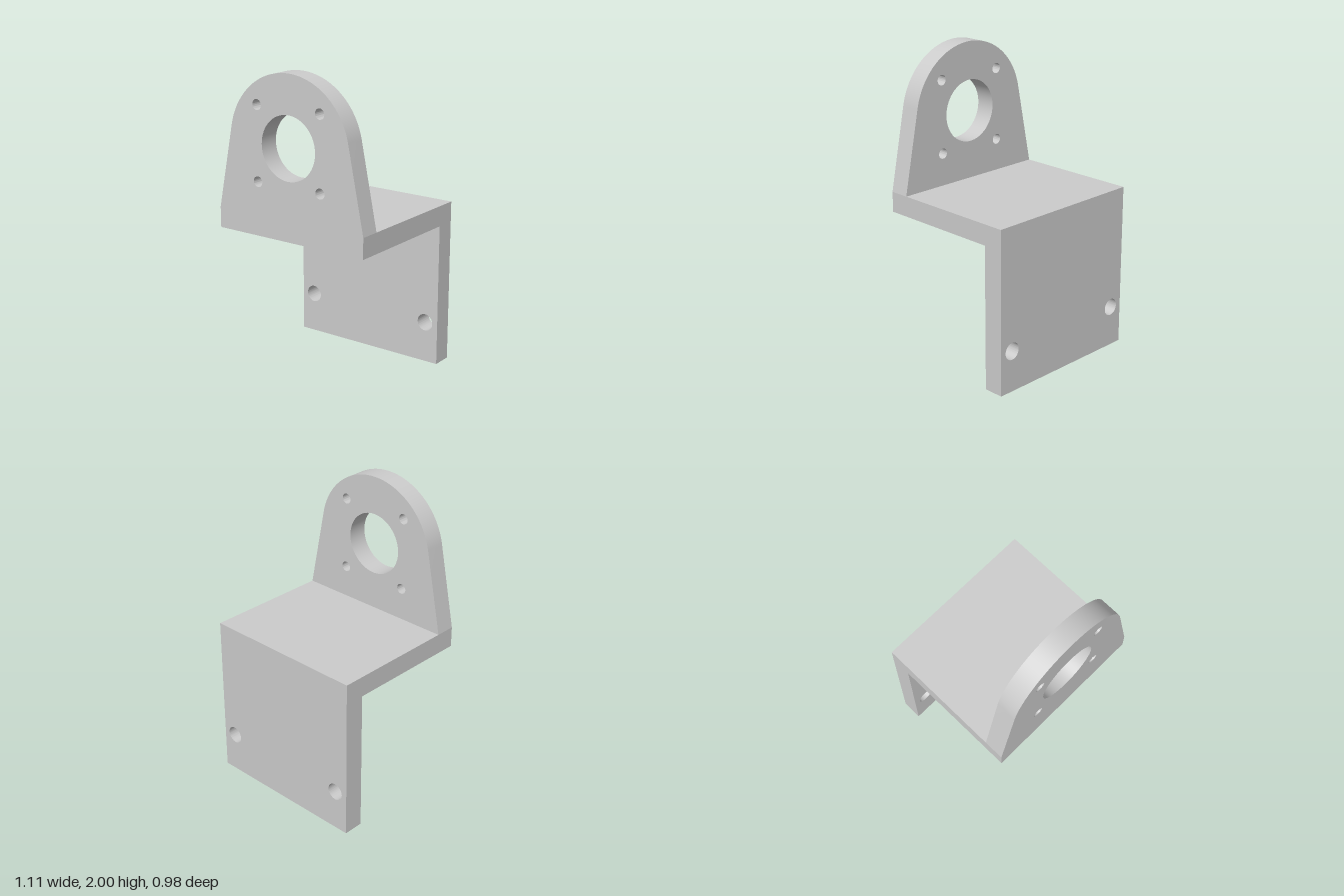
import * as THREE from 'three';
import { toCreasedNormals } from 'three/addons/utils/BufferGeometryUtils.js';

const W = 0.557;             // half width
const D = 0.49;              // half depth
const T = 0.135;             // sheet thickness
const SHELF_TOP = 1.09;
const SHELF_BOTTOM = SHELF_TOP - T;
const R = 0.455;             // rounded head radius
const CY = 2 - R;            // head centre height

export function createModel() {
  const group = new THREE.Group();
  const material = new THREE.MeshStandardMaterial({ color: 0xcccccc });

  const addHole = (shape, x, y, r) =>
    shape.holes.push(new THREE.Path().absarc(x, y, r, 0, Math.PI * 2, true));

  const addPlate = (name, shape, z) => {
    const extruded = new THREE.ExtrudeGeometry(shape, { depth: T, bevelEnabled: false, curveSegments: 48 });
    const mesh = new THREE.Mesh(toCreasedNormals(extruded, Math.PI / 6), material);
    mesh.name = name;
    mesh.position.z = z;
    group.add(mesh);
  };

  // Upright front plate: straight sides run tangent into the round head
  const tangent = Math.atan2(SHELF_TOP - CY, W) + Math.acos(R / Math.hypot(W, SHELF_TOP - CY));
  const front = new THREE.Shape();
  front.moveTo(-W, SHELF_TOP);
  front.lineTo(W, SHELF_TOP);
  front.absarc(0, CY, R, tangent, Math.PI - tangent, false);
  front.closePath();
  addHole(front, 0, CY, 0.205);
  for (const sx of [-1, 1])
    for (const sy of [-1, 1]) addHole(front, sx * 0.24, CY + sy * 0.241, 0.034);
  addPlate('frontPlate', front, D - T);

  // Horizontal shelf joining the two plates
  const shelf = new THREE.Mesh(new THREE.BoxGeometry(2 * W, T, 2 * D), material);
  shelf.name = 'shelf';
  shelf.position.y = SHELF_TOP - T / 2;
  group.add(shelf);

  // Lower back plate with two mounting holes
  const back = new THREE.Shape();
  back.moveTo(-W, 0);
  back.lineTo(W, 0);
  back.lineTo(W, SHELF_BOTTOM);
  back.lineTo(-W, SHELF_BOTTOM);
  back.closePath();
  for (const sx of [-1, 1]) addHole(back, sx * 0.462, 0.274, 0.057);
  addPlate('backPlate', back, -D);

  return group;
}
